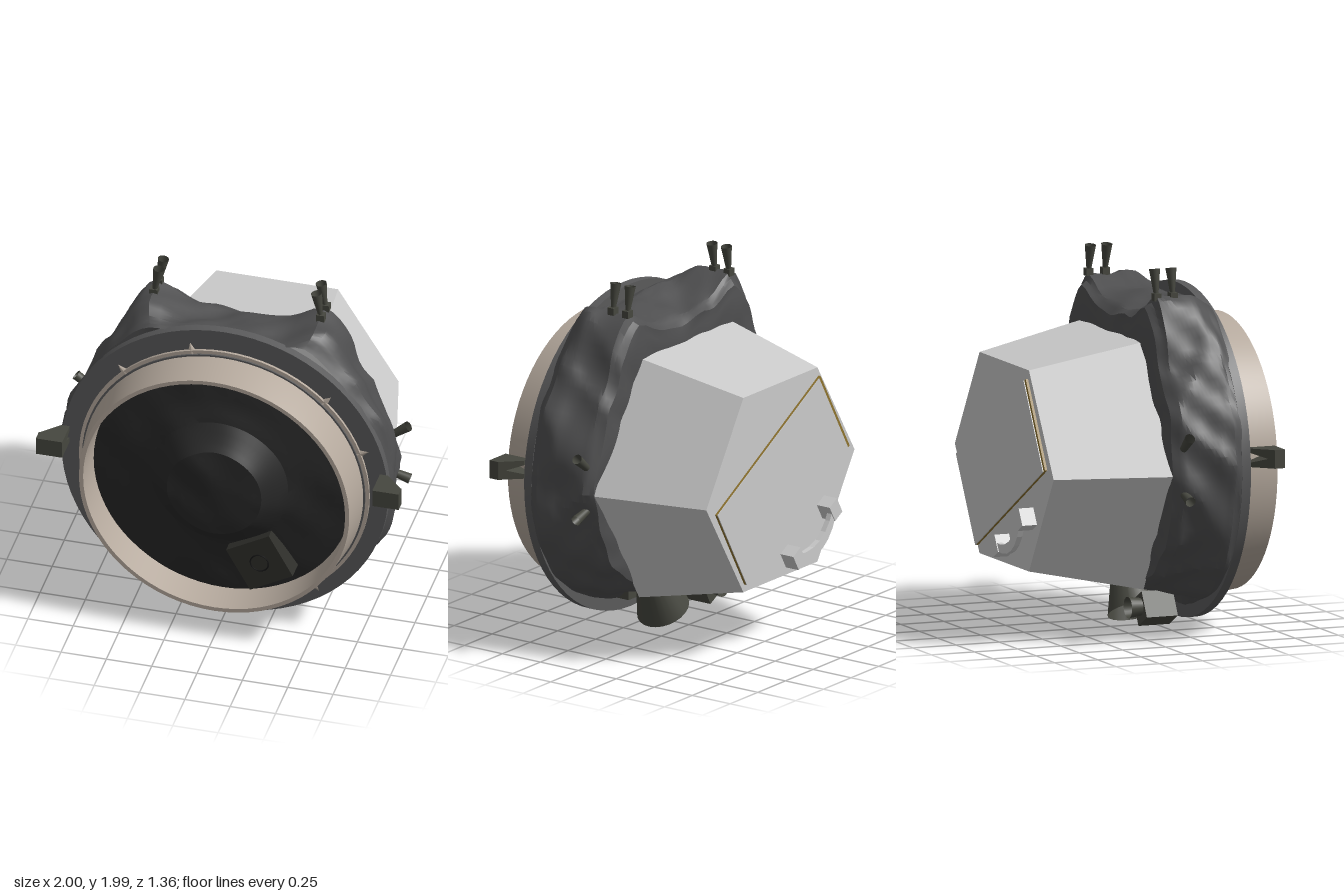
import * as THREE from 'three';
import { toCreasedNormals } from 'three/addons/utils/BufferGeometryUtils.js';

const mat = (color, extra = {}) => new THREE.MeshStandardMaterial({ color, ...extra });

export function createModel() {
  const model = new THREE.Group();
  model.name = 'spaceModule';
  const body = new THREE.Group(); // origin on the main axis
  body.name = 'body';
  body.position.y = 0.94;
  model.add(body);

  const two = { side: THREE.DoubleSide };
  const grey = mat(0xcccccc, { flatShading: true });
  const foil = mat(0x4f4f50, two);
  const dark = mat(0x282828, two);
  const rim = mat(0x5a5a5b, two);
  const beige = mat(0xb5a99d, two);
  const metal = mat(0x46473f, two);
  const black = mat(0x151515, two);
  const gold = mat(0x8f7430);

  const add = (name, geo, material, pos = [0, 0, 0], parent = body) => {
    const m = new THREE.Mesh(geo, material);
    m.name = name;
    m.position.set(...pos);
    parent.add(m);
    return m;
  };

  // Closed-around sheet: fn(angle, row) -> [x, y, z]
  const sheet = (n, rows, fn, crease) => {
    const pos = [], idx = [];
    for (let j = 0; j <= rows; j++)
      for (let i = 0; i < n; i++) pos.push(...fn((i / n) * Math.PI * 2, j / rows));
    for (let j = 0; j < rows; j++)
      for (let i = 0; i < n; i++) {
        const a = j * n + i, b = j * n + (i + 1) % n, c = a + n, d = b + n;
        idx.push(a, c, b, b, c, d);
      }
    const g = new THREE.BufferGeometry();
    g.setAttribute('position', new THREE.Float32BufferAttribute(pos, 3));
    g.setIndex(idx);
    return toCreasedNormals(g, crease);
  };

  // Piecewise-linear profile lookup over [r, z] points
  const along = (pts, t) => {
    const f = t * (pts.length - 1), i = Math.min(Math.floor(f), pts.length - 2), k = f - i;
    return pts[i].map((v, c) => v + (pts[i + 1][c] - v) * k);
  };
  // Folds: sharp ridges from |sin| over a softer swell
  const wrinkle = (x, y, z) =>
    0.6 - Math.abs(Math.sin(6 * x + 7 * z + 2 * Math.sin(5 * y))) +
    Math.sin(9 * y - 14 * z + 2 * Math.sin(8 * x)) * 0.5 +
    Math.sin(19 * x + 17 * y + 25 * z) * 0.3;
  const bell = (d, s) => Math.exp(-(d * d) / (2 * s * s));

  // Crumpled insulation blanket with two raised shoulders
  const wrap = [[0.01, 0.395], [0.03, 0.34], [0.02, 0.27], [0, 0.2], [-0.015, 0.13], [-0.03, 0.065], [-0.065, 0.015], [-0.17, 0.005], [-0.32, 0.01]];
  add('insulationBlanket', sheet(120, 24, (a, t) => {
    const [dr, z] = along(wrap, t);
    const c = Math.cos(a), s = Math.sin(a);
    const off = Math.atan2(s, Math.abs(c)) * 180 / Math.PI; // -90..90, mirrored
    const ear = (0.14 - (z > 0.06 ? dr : 0)) * bell(off - 62, off > 62 ? 4.5 : 10) * (1 - 0.6 * Math.max(0, (z - 0.28) / 0.115));
    const low = 0.15 * bell(off + 90, 28) * (1 - 0.5 * Math.max(0, (z - 0.28) / 0.115));
    const dent = c > 0 ? 0.06 * bell(off + 76, 9) * bell(z - 0.13, 0.1) : 0; // pocket for the engine
    const dip = 0.07 * bell(off - 90, 13);
    const r = 0.885 + dr + ear - low - dent - dip;
    const w = wrinkle(c, s, z) * (z > 0.36 ? 0.008 : 0.02);
    return [(r + w) * c, (r + w) * s, z + (t > 0.75 ? w * 0.5 : 0)];
  }, 0.45), foil);

  // Round parts turned about the z axis
  const turned = (name, pts, material, y = 0) => {
    const g = new THREE.LatheGeometry(pts.map(p => new THREE.Vector2(...p)), 72);
    g.rotateX(Math.PI / 2);
    add(name, toCreasedNormals(g, 0.5), material, [0, y, 0]);
  };
  turned('mountingFlange', [[0.6, 0.38], [0.9, 0.38], [0.9, 0.43], [0.7, 0.43]], rim);
  turned('collarSeat', [[0.78, 0.44], [0.78, 0.455], [0.7, 0.455]], rim, -0.022);
  turned('dockingCollar', [[0.8, 0.425], [0.8, 0.445], [0.77, 0.445], [0.77, 0.465], [0.745, 0.65], [0.722, 0.65], [0.71, 0.44]], beige, -0.022);

  // Small pointed tabs around the collar
  for (const deg of [103, 134, 46, 20, 204, 259, 279, 299, 308]) {
    const a = deg * Math.PI / 180;
    const tab = add('collarTab', new THREE.ConeGeometry(0.03, 0.07, 4), beige,
      [0.81 * Math.cos(a), 0.81 * Math.sin(a) - 0.022, 0.435]);
    tab.rotation.z = a - Math.PI / 2;
    tab.scale.z = 0.5;
  }

  // Dark crumpled cover inside the collar, with a raised middle
  const cover = [[0.72, 0.47], [0.6, 0.49], [0.48, 0.51], [0.38, 0.54], [0.3, 0.61], [0.26, 0.65], [0.18, 0.66], [0.08, 0.662], [0, 0.662]];
  add('innerCover', sheet(64, 16, (a, t) => {
    const [r, z] = along(cover, t);
    const x = r * Math.cos(a), y = r * Math.sin(a);
    return [x, y - (t < 0.3 ? 0.022 : 0), z + (t > 0.05 ? wrinkle(x, y, 0.3) * 0.008 : 0)];
  }, 0.4), dark);

  // Square sensor box on the cover
  const sensor = new THREE.Group();
  sensor.name = 'sensor';
  sensor.position.set(0.235, -0.45, 0.53);
  sensor.rotation.z = 0.51;
  body.add(sensor);
  add('sensorBox', new THREE.BoxGeometry(0.27, 0.27, 0.13), mat(0x2e2e2a), [0, 0, 0], sensor);
  add('sensorRing', new THREE.TorusGeometry(0.05, 0.004, 6, 24), black, [0, 0, 0.065], sensor);

  // Hexagonal cabin
  const hex = new THREE.CylinderGeometry(0.825, 0.67, 0.63, 6, 1, false, Math.PI / 6);
  hex.rotateX(Math.PI / 2).scale(1, 0.935, 1);
  add('cabin', hex, grey, [0.01, -0.01, -0.295]);

  // Hatch and handle on the rear face
  const hatch = new THREE.Group();
  hatch.name = 'hatch';
  hatch.position.set(0.01, -0.01, -0.61);
  hatch.rotation.z = -Math.PI / 6;
  body.add(hatch);
  add('hatchFrame', new THREE.BoxGeometry(1.08, 0.525, 0.014), gold, [0, 0, -0.013], hatch);
  add('hatchPanel', new THREE.BoxGeometry(1.06, 0.525, 0.006), grey, [0.01, 0, -0.022], hatch);
  for (const s of [-1, 1])
    add('handlePost', new THREE.BoxGeometry(0.075, 0.1, 0.085), grey, [s * 0.19 - 0.02, -0.41, -0.0425], hatch);
  const bow = new THREE.Shape();
  bow.moveTo(-0.18, -0.39);
  bow.quadraticCurveTo(0, -0.53, 0.18, -0.39);
  bow.lineTo(0.18, -0.44);
  bow.quadraticCurveTo(0, -0.59, -0.18, -0.44);
  add('handleBar', new THREE.ExtrudeGeometry(bow, { depth: 0.03, bevelEnabled: false, curveSegments: 6 }), grey, [-0.02, 0, -0.08], hatch);

  // Forked side brackets
  for (const s of [-1, 1]) {
    const fork = new THREE.Shape([[0.43, -0.05], [0.53, -0.05], [0.53, 0.05], [0.43, 0.05], [0.43, 0.025], [0.5, 0], [0.43, -0.025]]
      .map(p => new THREE.Vector2(...p)));
    const g = new THREE.ExtrudeGeometry(fork, { depth: 1, bevelEnabled: false });
    const p = g.attributes.position;
    for (let i = 0; i < p.count; i++) { // widen outward toward the block
      const z = p.getX(i), outer = p.getZ(i) > 0.5;
      p.setXYZ(i, s * (outer ? 0.9 + (z - 0.43) : 0.855), p.getY(i), z);
    }
    g.computeVertexNormals();
    add('bracketFork', g, metal, [0, 0.08, 0]);
    add('bracketBlock', new THREE.BoxGeometry(0.145, 0.1, 0.06), metal, [s * 0.9275, 0.08, 0.555]);
  }

  // Flared thruster from a base point along a direction
  const thruster = (name, base, dir, len, r0, r1) => {
    const grp = new THREE.Group();
    grp.name = name;
    grp.position.set(...base);
    grp.quaternion.setFromUnitVectors(new THREE.Vector3(0, 1, 0), new THREE.Vector3(...dir).normalize());
    body.add(grp);
    add('nozzle', new THREE.CylinderGeometry(r1, r0, len, 24, 1, true), metal, [0, len / 2, 0], grp);
    add('nozzleThroat', new THREE.CylinderGeometry(r0, r0, 0.01, 24), black, [0, 0.005, 0], grp);
  };
  for (const s of [-1, 1]) {
    for (const z of [0.07, 0.165]) {
      add('thrusterFoot', new THREE.BoxGeometry(0.045, 0.04, 0.04), metal, [s * 0.46, 0.905, z]);
      thruster('topThruster', [s * 0.456, 0.92, z], [-s * 0.16, 1, 0], 0.135, 0.013, 0.03);
    }
    thruster('upperSideThruster', [s * 0.83, 0.14, 0.07], [s, 0.8, 0], 0.11, 0.02, 0.028);
    thruster('lowerSideThruster', [s * 0.82, -0.1, 0.07], [s, -0.3, 0], 0.11, 0.02, 0.028);
  }

  // Main engine bell and auxiliary engine underneath
  thruster('mainEngine', [0.15, -0.64, 0.15], [-0.48, -0.88, 0], 0.257, 0.075, 0.145);
  add('engineStrut', new THREE.BoxGeometry(0.12, 0.1, 0.1), metal, [0.1, -0.76, 0.33]);
  const mount = add('auxiliaryMount', new THREE.BoxGeometry(0.13, 0.15, 0.18), metal, [-0.285, -0.8, 0.14]);
  mount.rotation.z = -0.5;
  thruster('auxiliaryEngine', [-0.285, -0.79, 0.07], [0, 0, -1], 0.09, 0.045, 0.058);

  return model;
}
